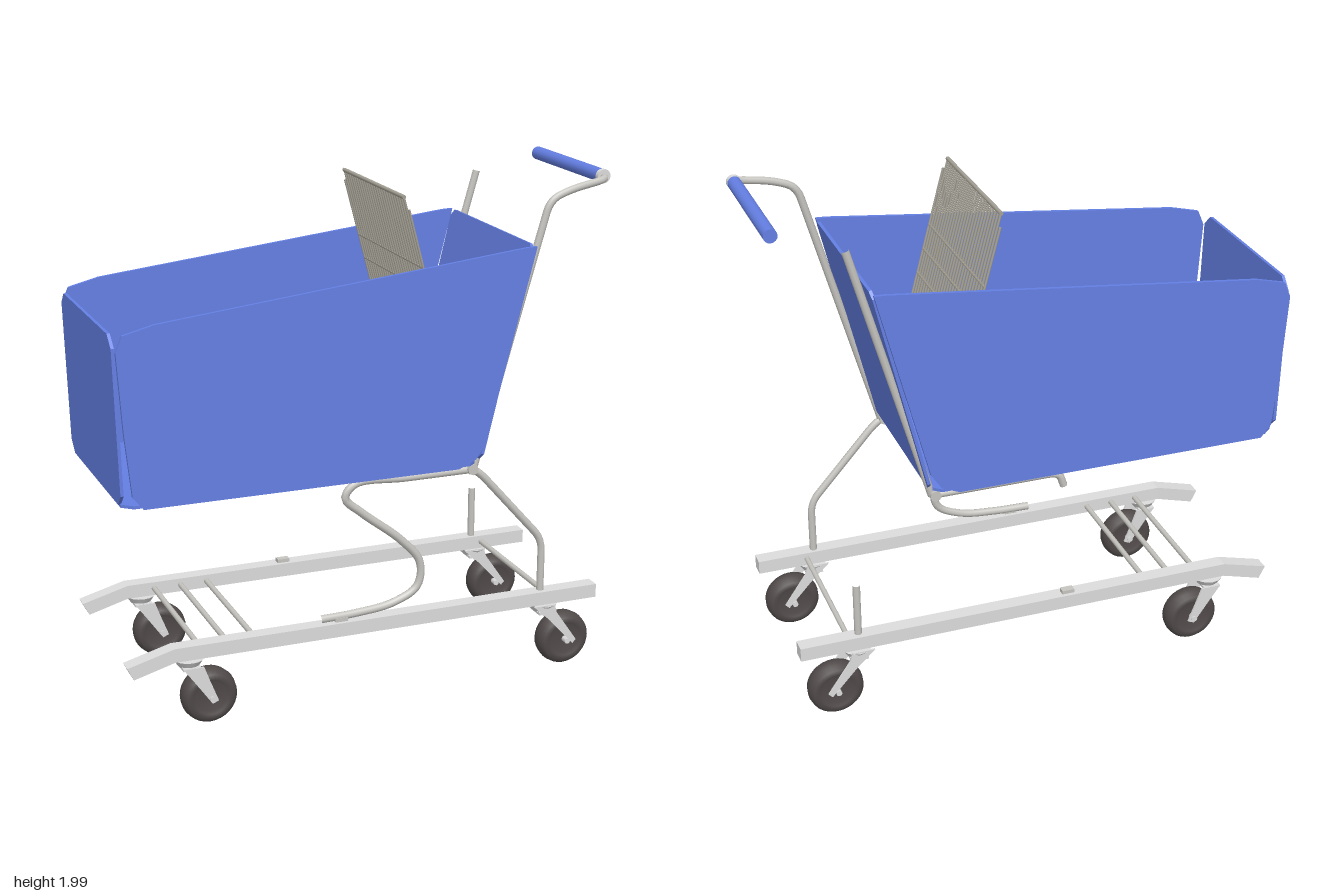
import * as THREE from 'three';

export function createModel() {
  const cart = new THREE.Group();
  cart.name = 'shoppingCart';
  const mat = (name, color, side = THREE.FrontSide) => {
    const m = new THREE.MeshStandardMaterial({ color, side });
    m.name = name;
    return m;
  };
  const blue = mat('bluePlastic', 0x647fe3, THREE.DoubleSide);
  const steel = mat('paintedSteel', 0xdcdcdc);
  const chrome = mat('chromeTube', 0xc6c5c0);
  const wire = mat('darkWire', 0xa5a196);
  const rubber = mat('rubber', 0x504a49);

  const add = (parent, name, geo, material, x = 0, y = 0, z = 0) => {
    const m = new THREE.Mesh(geo, material);
    m.name = name;
    m.position.set(x, y, z);
    parent.add(m);
    return m;
  };
  const plate = (pts, depth) => new THREE.ExtrudeGeometry(
    new THREE.Shape(pts.map(p => new THREE.Vector2(p[0], p[1]))), { depth, bevelEnabled: false }
  ).translate(0, 0, -depth / 2);
  // Upright sheet across z, with cut corners, base at the origin
  const endSheet = (w, h, c) => plate([
    [-w + c, 0], [w - c, 0], [w, c], [w, h - c], [w - c, h], [-w + c, h], [-w, h - c], [-w, c]
  ], 0.012).rotateY(Math.PI / 2);
  // Tube through points; corners are rounded by short curves
  const tube = (pts, r = 0.015, bend = 0.05) => {
    const v = pts.map(p => new THREE.Vector3(...p));
    const path = new THREE.CurvePath();
    let from = v[0];
    for (let i = 1; i < v.length - 1; i++) {
      const a = v[i].clone().lerp(v[i - 1], Math.min(0.45, bend / v[i].distanceTo(v[i - 1])));
      const b = v[i].clone().lerp(v[i + 1], Math.min(0.45, bend / v[i].distanceTo(v[i + 1])));
      path.add(new THREE.LineCurve3(from, a));
      path.add(new THREE.QuadraticBezierCurve3(a, v[i], b));
      from = b;
    }
    path.add(new THREE.LineCurve3(from, v[v.length - 1]));
    return new THREE.TubeGeometry(path, v.length * 14, r, 8, false);
  };
  const rod = (r, len) => new THREE.CylinderGeometry(r, r, len, 8);
  const rodZ = (r, len) => rod(r, len).rotateX(Math.PI / 2);

  // Basket: two long sides, nose, back and floor
  const basket = new THREE.Group();
  basket.name = 'basket';
  cart.add(basket);
  const sidePts = [
    [-0.9, 0.91], [0.34, 0.91], [0.41, 0.94], [0.45, 1.0], [0.645, 1.75], [0.6, 1.748],
    [-0.84, 1.59], [-0.96, 1.56], [-0.985, 1.5], [-0.965, 1.2], [-0.94, 0.96]
  ];
  for (const s of [1, -1]) add(basket, 'basketSide', plate(sidePts, 0.014), blue, 0, 0, s * 0.385);
  add(basket, 'basketNose', endSheet(0.362, 0.64, 0.045), blue, -0.97, 0.915).rotation.z = 0.03;
  add(basket, 'basketBack', endSheet(0.365, 0.85, 0.025), blue, 0.445, 0.925).rotation.z = -0.236;
  add(basket, 'basketFloor', plate([
    [-0.93, -0.365], [0.4, -0.365], [0.44, -0.33], [0.44, 0.33], [0.4, 0.365],
    [-0.93, 0.365], [-0.97, 0.33], [-0.97, -0.33]
  ], 0.012).rotateX(Math.PI / 2), blue, 0, 0.913);

  // Child seat: flap and wire backrest
  add(cart, 'seatFlap', new THREE.BoxGeometry(0.25, 0.012, 0.65), blue, 0.41, 1.4);
  const backrest = new THREE.Group();
  backrest.name = 'wireBackrest';
  backrest.position.set(0.29, 1.4, 0);
  backrest.rotation.z = 0.262;
  cart.add(backrest);
  for (let i = 0; i <= 26; i++) {
    const z = -0.32 + i * 0.64 / 26;
    const h = Math.abs(z) > 0.3 ? 0.53 : 0.58;
    add(backrest, 'uprightWire', rod(0.005, h), wire, 0, h / 2, z);
  }
  for (const y of [0, 0.1, 0.2, 0.3]) add(backrest, 'crossWire', rodZ(0.005, 0.64), wire, 0, y, 0);
  add(backrest, 'topWire', rodZ(0.008, 0.6), wire, 0, 0.575, 0);

  // Handle, carried on one long arm
  const Z = 0.327;
  add(cart, 'handleGrip', new THREE.CylinderGeometry(0.026, 0.026, 0.54, 16).rotateX(Math.PI / 2),
    blue, 0.97, 1.975, 0);
  add(cart, 'handleEndCap', new THREE.CylinderGeometry(0.027, 0.027, 0.02, 16).rotateX(Math.PI / 2),
    steel, 0.97, 1.975, 0.28);
  add(cart, 'handlePostLeft', tube([
    [0.43, 0.88, Z], [0.725, 1.91, Z], [0.82, 1.945, Z], [0.965, 1.97, Z - 0.01], [0.97, 1.975, 0.27]
  ]), chrome);
  add(cart, 'handlePostRight', tube([[0.43, 0.88, -Z], [0.725, 1.91, -Z]]), chrome);

  // Lower frame: rear leg and sprung S-shaped support
  add(cart, 'rearLeg', tube([[0.41, 0.89, Z], [0.46, 0.86, Z], [0.735, 0.55, Z], [0.735, 0.33, Z]]), chrome);
  add(cart, 'rearLegStub', tube([[0.735, 0.55, -Z], [0.735, 0.33, -Z]]), chrome);
  const support = new THREE.CatmullRomCurve3([
    [0.42, 0.88], [0.15, 0.88], [-0.06, 0.88], [-0.1, 0.83], [-0.03, 0.76], [0.13, 0.63],
    [0.21, 0.53], [0.2, 0.43], [0.1, 0.375], [-0.05, 0.355], [-0.2, 0.35]
  ].map(p => new THREE.Vector3(p[0], p[1], Z)));
  add(cart, 'curvedSupport', new THREE.TubeGeometry(support, 80, 0.016, 8, false), chrome);
  add(cart, 'basketRunner', tube([[0.42, 0.88, -Z], [-0.08, 0.88, -Z], [-0.1, 0.82, -Z]]), chrome);
  for (const s of [1, -1]) add(cart, 'frameClamp', rodZ(0.022, 0.05), chrome, 0.42, 0.885, s * Z);

  // Base rails with a dropped nose, joined by cross bars
  const railPts = [
    [-0.95, 0.235], [-0.79, 0.28], [0.97, 0.28], [0.97, 0.335], [-0.79, 0.335], [-0.975, 0.285]
  ];
  for (const s of [1, -1]) {
    add(cart, 'baseRail', plate(railPts, 0.06), steel, 0, 0, s * 0.33);
    add(cart, 'railBracket', new THREE.BoxGeometry(0.05, 0.015, 0.03), chrome, -0.12, 0.342, s * 0.33);
  }
  for (const x of [-0.46, -0.57, -0.68, 0.77]) add(cart, 'crossBar', rodZ(0.011, 0.62), chrome, x, 0.31, 0);

  // Casters
  const tire = new THREE.LatheGeometry([
    [0, -0.03], [0.06, -0.03], [0.07, -0.042], [0.092, -0.04], [0.106, -0.024], [0.11, 0],
    [0.106, 0.024], [0.092, 0.04], [0.07, 0.042], [0.06, 0.03], [0, 0.03]
  ].map(p => new THREE.Vector2(p[0], p[1])), 32).rotateX(Math.PI / 2);
  const frontFork = [[0, -0.02], [0.025, -0.01], [-0.01, 0.08], [-0.03, 0.135], [-0.11, 0.135], [-0.07, 0.08]];
  const rearFork = [[0.025, -0.015], [0.04, 0], [-0.05, 0.13], [-0.06, 0.165], [-0.15, 0.165], [-0.08, 0.1]];
  const caster = (x, z, forkPts, swivelX) => {
    const g = new THREE.Group();
    g.name = 'caster';
    g.position.set(x, 0.12, z);
    cart.add(g);
    add(g, 'wheel', tire, rubber);
    for (const s of [1, -1]) add(g, 'forkPlate', plate(forkPts, 0.008), steel, 0, 0, s * 0.05);
    add(g, 'forkBridge', new THREE.BoxGeometry(0.07, 0.01, 0.1), steel, swivelX, 0.131, 0);
    add(g, 'swivel', new THREE.CylinderGeometry(0.06, 0.04, 0.03, 16), steel, swivelX, 0.145, 0);
    add(g, 'axle', rodZ(0.012, 0.12), steel);
  };
  for (const s of [1, -1]) {
    caster(-0.655, s * 0.33, frontFork, -0.075);
    caster(0.835, s * 0.33, rearFork, -0.09);
  }
  return cart;
}
